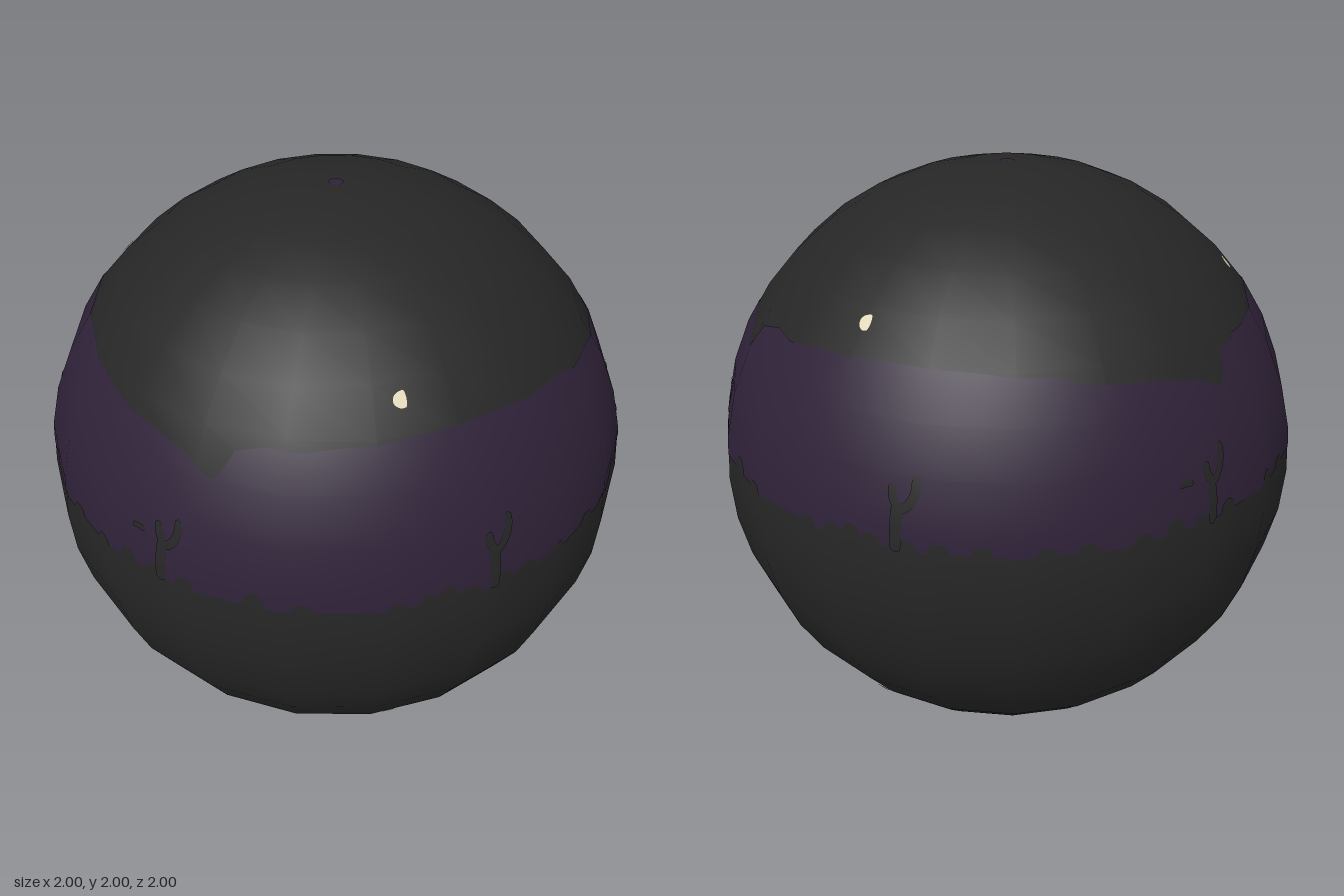
import * as THREE from 'three';

const mat = (name, color, side = THREE.FrontSide) => {
  const m = new THREE.MeshStandardMaterial({ color, side });
  m.name = name;
  return m;
};

const SIDES = 20, ROWS = 20, TILE = 120, LIFT = 83;
const LON = 360 / SIDES, LAT = 180 / ROWS;

// Point on the faceted ball at a longitude and latitude in degrees
function vertex(col, row) {
  const a = THREE.MathUtils.degToRad(col * LON);
  const b = THREE.MathUtils.degToRad(row * LAT);
  return new THREE.Vector3(Math.cos(b) * Math.sin(a), Math.sin(b), Math.cos(b) * Math.cos(a));
}
function onBall(lon, lat, scale) {
  lat = THREE.MathUtils.clamp(lat, -90, 90);
  const c = Math.floor(lon / LON), r = Math.min(Math.floor(lat / LAT), ROWS / 2 - 1);
  const u = lon / LON - c, v = lat / LAT - r;
  const low = vertex(c, r).lerp(vertex(c + 1, r), u);
  const high = vertex(c, r + 1).lerp(vertex(c + 1, r + 1), u);
  return low.lerp(high, v).multiplyScalar(scale);
}

// Painted skin: a grid of [lon, lat] points laid on the ball
function skin(columns, scale) {
  const pos = [], nor = [], idx = [], n = columns[0].length;
  for (const column of columns) for (const [lon, lat] of column) {
    const p = onBall(lon, lat, scale);
    pos.push(p.x, p.y, p.z);
    p.normalize();
    nor.push(p.x, p.y, p.z);
  }
  for (let i = 0; i < columns.length - 1; i++) for (let j = 0; j < n - 1; j++) {
    const a = i * n + j, b = a + n;
    idx.push(a, b, b + 1, a, b + 1, a + 1);
  }
  const g = new THREE.BufferGeometry();
  g.setAttribute('position', new THREE.Float32BufferAttribute(pos, 3));
  g.setAttribute('normal', new THREE.Float32BufferAttribute(nor, 3));
  g.setIndex(idx);
  return g;
}

// Upper edge of the sky over one tile
const CLOUD = [[-14.3, 27.1], [-12.5, 28.7], [-10.5, 32.7], [-3.5, 34.4], [3.5, 34], [10.5, 34.8],
  [22, 35.5], [38, 36.2], [53, 35.8], [68, 34.8], [74, 33.4], [88, 32], [99.7, 30], [105.7, 27.1]];
function cloudEdge(lon) {
  const x = THREE.MathUtils.euclideanModulo(lon + 14.3, TILE) - 14.3;
  for (let i = 1; i < CLOUD.length; i++) {
    const [x0, y0] = CLOUD[i - 1], [x1, y1] = CLOUD[i];
    if (x <= x1) return y0 + (y1 - y0) * (x - x0) / (x1 - x0);
  }
  return CLOUD[0][1];
}

// Lower edge: flat ground with round bushes [lon, height]
const BUSHES = [[-55, 1.5], [-48, 1.6], [-38, 1.6], [-31, 2.6], [-25, 2], [-18, 2.2], [-4.6, 2.8], [4, 1.6],
  [20.5, 1.4], [26.3, 1.8], [30, 2.6], [34, 1.8], [41, 2], [46.5, 1.8], [54, 1.8]];
function groundEdge(lon) {
  let h = 0;
  for (const [x, top] of BUSHES) {
    const d = THREE.MathUtils.euclideanModulo(lon - x + TILE / 2, TILE) - TILE / 2;
    if (Math.abs(d) < 2) h = Math.max(h, top * Math.sqrt(1 - d * d / 4));
  }
  return 5.1 + h;
}

// Sky band all round the ball, split where it crosses a facet row
function skyBand(shift) {
  const columns = [];
  for (let lon = 0; lon <= 360; lon += 0.5) {
    const lo = groundEdge(lon) + shift, hi = cloudEdge(lon) + shift, column = [[lon, lo]];
    for (let k = Math.ceil((5 + shift) / LAT); k * LAT < 37 + shift; k++) {
      column.push([lon, THREE.MathUtils.clamp(k * LAT, lo, hi)]);
    }
    column.push([lon, hi]);
    columns.push(column);
  }
  return skin(columns, 1.002);
}

// Brush stroke with round ends along a few points
function stroke(points, lon, lat, width) {
  const curve = new THREE.CatmullRomCurve3(points.map(([x, y]) => new THREE.Vector3(x, y, 0)));
  const columns = [], steps = 20;
  for (let i = 0; i <= steps; i++) {
    const t = i / steps, p = curve.getPoint(t), d = curve.getTangent(t);
    const w = width * Math.pow(Math.max(0, 1 - Math.pow(2 * t - 1, 8)), 0.5);
    const sx = -d.y * w, sy = d.x * w;
    columns.push([-1, 0, 1].map(s => [lon + p.x + s * sx, lat + p.y + s * sy]));
  }
  return skin(columns, 1.005);
}

// Cactus strokes, measured from the foot: trunk, crook, arm, and a loose twig
const CACTUS = [
  { points: [[0, -1.5], [0.1, 3], [0.2, 7.5]], width: 1.15 },
  { points: [[0.6, 6], [-0.6, 8], [-1, 10.5]], width: 0.85 },
  { points: [[0, 5.8], [2.2, 7.2], [3.5, 9.5], [3.7, 12.7]], width: 0.85 },
];
const TWIG = { points: [[-7, 7.3], [-5.5, 7.5], [-4, 7.3]], width: 0.55 };

// Crescent moon with its bite on the right
function moon(lon, lat) {
  const columns = [];
  for (let i = 0; i <= 16; i++) {
    const a = Math.PI * (0.5 + i / 16) - 0.25;
    const x = Math.cos(a), y = Math.sin(a);
    const edge = i === 0 || i === 16 ? 1 : 0;
    columns.push([[lon + 0.6 + 2.7 * x, lat + 1.6 * y],
      [lon + 0.6 + (edge ? 2.7 : -0.7) * x, lat + 1.6 * y]]);
  }
  return skin(columns, 1.005);
}

export function createModel() {
  const model = new THREE.Group();
  model.name = 'desertNightBall';
  const dark = mat('charcoal', 0x262626);
  const darkPaint = mat('charcoalPaint', 0x262626, THREE.DoubleSide);
  const purple = mat('duskPurple', 0x2f2238, THREE.DoubleSide);
  const cream = mat('moonCream', 0xe2d8ba, THREE.DoubleSide);
  const add = (geometry, material, name) => {
    const mesh = new THREE.Mesh(geometry, material);
    mesh.name = name;
    mesh.position.y = 1;
    model.add(mesh);
  };

  add(new THREE.SphereGeometry(1, SIDES, ROWS), dark, 'ball');

  // Scene painted twice in height and three times around
  for (const shift of [0, -LIFT]) {
    add(skyBand(shift), purple, 'duskSky');
    for (let k = 0; k < 3; k++) {
      const turn = k * TILE;
      add(moon(24.4 + turn, 42 + shift), cream, 'moon');
      for (const foot of [-23, 38.8]) {
        const parts = foot < 0 ? [...CACTUS, TWIG] : CACTUS;
        for (const { points, width } of parts) {
          add(stroke(points, foot + turn, 6 + shift, width), darkPaint, 'cactus');
        }
      }
    }
  }

  // Tip of the next sky band at the very top
  const cap = [];
  for (let lon = 0; lon <= 360; lon += LON) cap.push([[lon, 88.6], [lon, 90]]);
  add(skin(cap, 1.002), purple, 'topSkySpot');
  return model;
}
